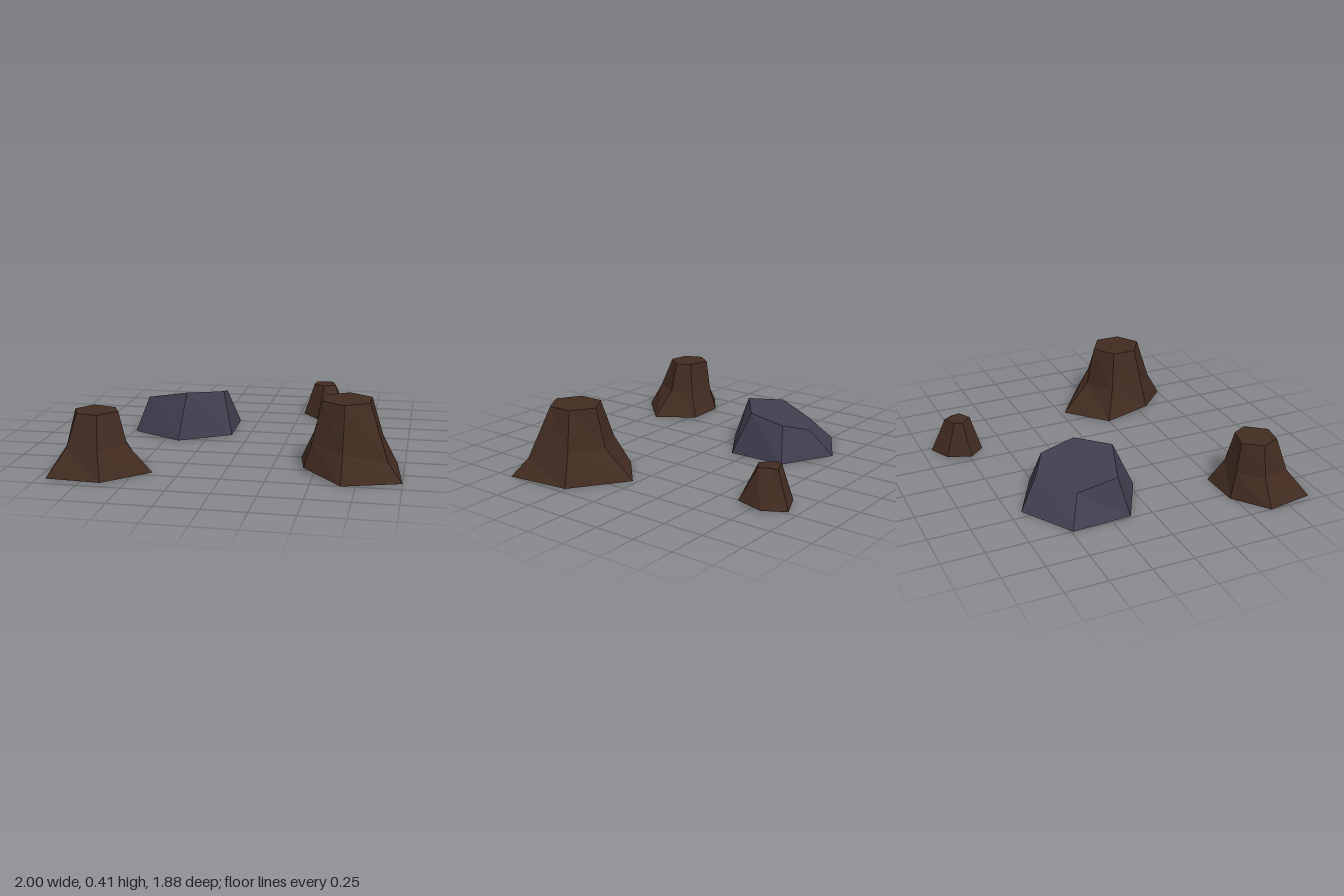
import * as THREE from 'three';

// Faceted rock from stacked rings of [x, y, z] corners, lowest ring first,
// each running clockwise as seen from above. The underside has its own material.
function rock(name, rings, stone, underside) {
  const pos = [];
  const tri = (a, b, c) => pos.push(...a, ...b, ...c);
  const n = rings[0].length;
  const base = rings[0], top = rings[rings.length - 1];
  // sides
  for (let r = 0; r < rings.length - 1; r++) {
    const lo = rings[r], hi = rings[r + 1];
    for (let i = 0; i < n; i++) {
      const j = (i + 1) % n;
      tri(lo[j], lo[i], hi[j]);
      tri(lo[i], hi[i], hi[j]);
    }
  }
  // top cap, then underside
  for (let i = 1; i < n - 1; i++) tri(top[0], top[i + 1], top[i]);
  const split = pos.length / 3;
  for (let i = 1; i < n - 1; i++) tri(base[0], base[i], base[i + 1]);

  const geometry = new THREE.BufferGeometry();
  geometry.setAttribute('position', new THREE.Float32BufferAttribute(pos, 3));
  geometry.computeVertexNormals();
  geometry.addGroup(0, split, 0);
  geometry.addGroup(split, pos.length / 3 - split, 1);
  const mesh = new THREE.Mesh(geometry, [stone, underside]);
  mesh.name = name;
  return mesh;
}

function material(name, color) {
  const m = new THREE.MeshStandardMaterial({ color, flatShading: true });
  m.name = name;
  return m;
}

export function createModel() {
  const brown = material('brown stone', 0x412b20);
  const grey = material('grey stone', 0x403e4e);
  const dark = material('dark underside', 0x200a0a);

  const group = new THREE.Group();
  group.name = 'rocks';

  // tall flared stump-like rock
  group.add(rock('largeRock', [
    [[0.63, 0, 0.03], [0.955, 0, 0.26], [1, 0, 0.65], [0.67, 0, 0.755], [0.44, 0.03, 0.55], [0.39, 0, 0.25]],
    [[0.66, 0.17, 0.21], [0.87, 0.18, 0.31], [0.915, 0.1, 0.59], [0.67, 0.15, 0.67], [0.485, 0.18, 0.53], [0.47, 0.18, 0.31]],
    [[0.67, 0.41, 0.265], [0.805, 0.41, 0.35], [0.805, 0.41, 0.5], [0.67, 0.41, 0.585], [0.535, 0.41, 0.5], [0.535, 0.41, 0.35]],
  ], brown, dark));

  // medium flared rock
  group.add(rock('mediumRock', [
    [[-0.8, 0, 0.48], [-0.55, 0, 0.47], [-0.4, 0, 0.7], [-0.635, 0, 0.935], [-0.955, 0, 0.915], [-1, 0, 0.635]],
    [[-0.785, 0.15, 0.52], [-0.61, 0.15, 0.545], [-0.55, 0.15, 0.68], [-0.67, 0.15, 0.86], [-0.865, 0.15, 0.81], [-0.9, 0.15, 0.645]],
    [[-0.78, 0.34, 0.545], [-0.645, 0.34, 0.58], [-0.6, 0.34, 0.67], [-0.69, 0.34, 0.78], [-0.815, 0.34, 0.76], [-0.86, 0.34, 0.65]],
  ], brown, dark));

  // small rock
  group.add(rock('smallRock', [
    [[0.48, 0, -0.94], [0.575, 0.01, -0.82], [0.545, 0.02, -0.655], [0.38, 0, -0.64], [0.28, 0.01, -0.74], [0.335, 0.01, -0.88]],
    [[0.45, 0.215, -0.85], [0.47, 0.22, -0.8], [0.49, 0.215, -0.745], [0.415, 0.215, -0.7], [0.345, 0.215, -0.765], [0.36, 0.22, -0.815]],
  ], brown, dark));

  // broad grey boulder with a sloping top
  group.add(rock('greyBoulder', [
    [[-0.44, 0, -0.68], [-0.12, 0, -0.51], [-0.11, 0, -0.15], [-0.415, 0, 0.04], [-0.735, 0, -0.13], [-0.75, 0, -0.49]],
    [[-0.36, 0.165, -0.555], [-0.2, 0.215, -0.46], [-0.18, 0.26, -0.245], [-0.385, 0.28, -0.085], [-0.655, 0.22, -0.175], [-0.61, 0.15, -0.405]],
  ], grey, dark));

  return group;
}
